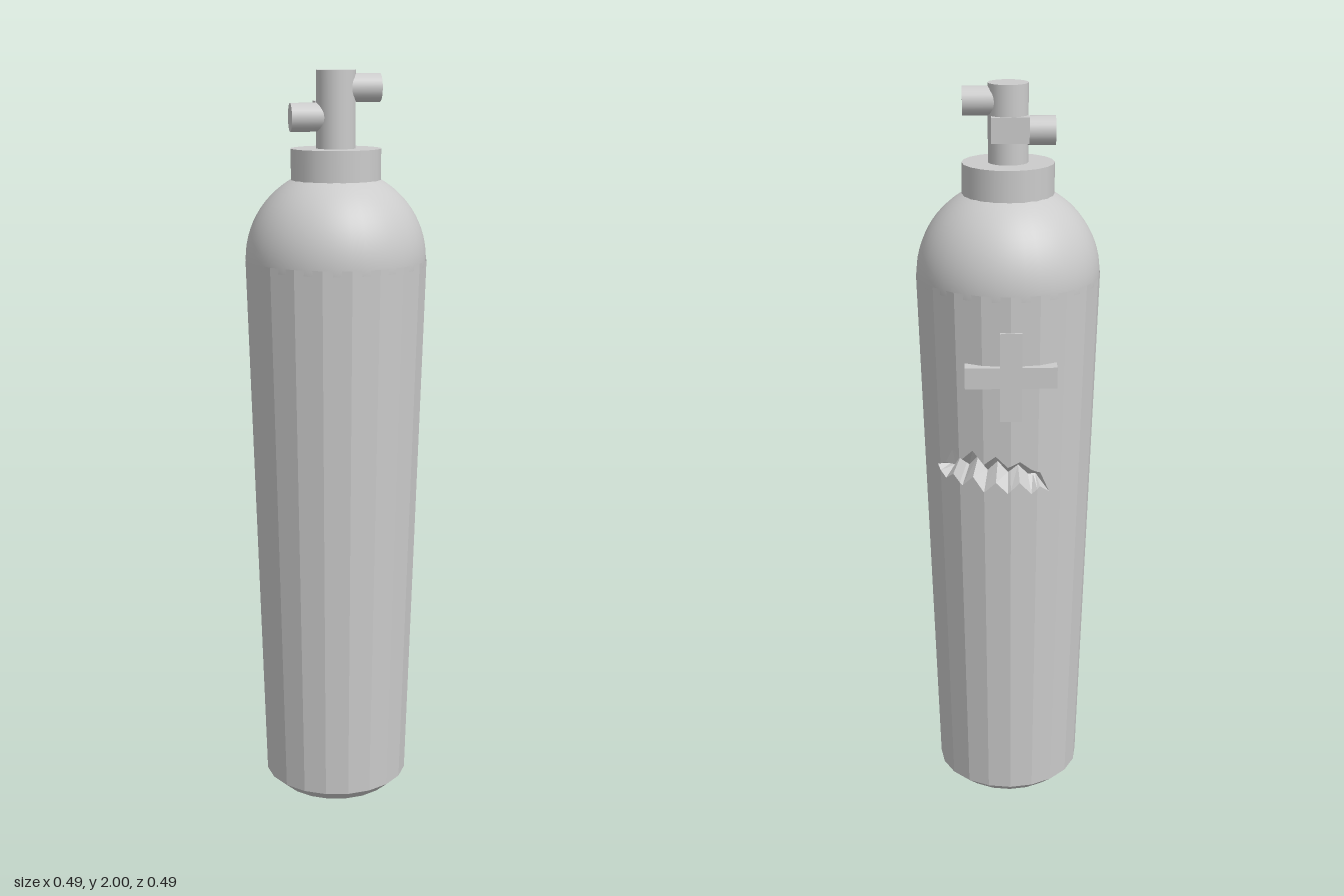
import * as THREE from 'three';

const SIDES = 20;
const BASE_Y = 0.035, SHOULDER_Y = 1.51;

// Jagged tear on the back: angle from the back towards +x (degrees), lower edge, upper edge
const TEAR = [
  [58, 1.015, 1.015], [49, 0.985, 1.03], [42, 1.005, 1.075], [34, 0.98, 1.055],
  [26, 1.01, 1.085], [18, 0.97, 1.05], [10, 1.0, 1.075], [2, 0.97, 1.045],
  [-6, 1.0, 1.06], [-14, 0.965, 1.035], [-20, 0.985, 1.025], [-27, 0.965, 0.965],
];

// Tear edges at any angle
function tearAt(deg) {
  for (let i = 0; i < TEAR.length - 1; i++) {
    const [a, lo0, hi0] = TEAR[i], [b, lo1, hi1] = TEAR[i + 1];
    if (deg <= a && deg >= b) {
      const t = (a - deg) / (a - b);
      return [lo0 + (lo1 - lo0) * t, hi0 + (hi1 - hi0) * t];
    }
  }
  return [1, 1];
}

// Point on the tapered, faceted wall; depth pushes it inwards
function wallPoint(deg, y, depth = 0) {
  const step = 360 / SIDES;
  const off = (((deg % step) + step) % step) - step / 2;
  const rad = THREE.MathUtils.degToRad;
  const r = 0.2 + 0.043 * (y - BASE_Y) / (SHOULDER_Y - BASE_Y);
  const flat = r * Math.cos(rad(step / 2)) / Math.cos(rad(off)) - depth;
  return [flat * Math.sin(rad(deg)), y, -flat * Math.cos(rad(deg))];
}

// Tank wall as vertical strips, folding inwards where it is torn
function wallGeometry() {
  const angles = new Set(TEAR.map((t) => t[0]));
  for (let i = -SIDES / 2; i <= SIDES / 2; i++) angles.add(i * 360 / SIDES);
  const columns = [...angles].sort((a, b) => b - a).map((deg) => {
    const [lo, hi] = tearAt(deg);
    const depth = hi > lo ? 0.035 : 0;
    return [
      wallPoint(deg, BASE_Y), wallPoint(deg, lo),
      wallPoint(deg, lo + (hi - lo) * 0.65, depth),
      wallPoint(deg, hi), wallPoint(deg, SHOULDER_Y),
    ];
  });
  const pos = [];
  for (let i = 0; i < columns.length - 1; i++) {
    const a = columns[i], b = columns[i + 1];
    for (let j = 0; j < 4; j++) {
      const corners = [a[j], b[j], b[j + 1], a[j], b[j + 1], a[j + 1]];
      // Outside the tear the inner rows collapse to nothing
      if ((j === 1 || j === 2) && a[1][1] === a[3][1] && b[1][1] === b[3][1]) continue;
      corners.forEach((p) => pos.push(...p));
    }
  }
  const g = new THREE.BufferGeometry();
  g.setAttribute('position', new THREE.Float32BufferAttribute(pos, 3));
  g.computeVertexNormals();
  return g;
}

// Plus-shaped badge outline
function plusGeometry() {
  const a = 0.118, b = 0.028;
  const pts = [[b, a], [b, b], [a, b], [a, -b], [b, -b], [b, -a],
    [-b, -a], [-b, -b], [-a, -b], [-a, b], [-b, b], [-b, a]];
  const shape = new THREE.Shape(pts.map(([x, y]) => new THREE.Vector2(x, y)));
  return new THREE.ExtrudeGeometry(shape, { depth: 0.04, bevelEnabled: false });
}

export function createModel() {
  const group = new THREE.Group();
  const smooth = new THREE.MeshStandardMaterial({ color: 0xcccccc });
  const faceted = new THREE.MeshStandardMaterial({ color: 0xcccccc, flatShading: true });
  const torn = new THREE.MeshStandardMaterial({ color: 0xcccccc, flatShading: true, side: THREE.DoubleSide });

  function add(name, geometry, material, x = 0, y = 0, z = 0) {
    const mesh = new THREE.Mesh(geometry, material);
    mesh.name = name;
    mesh.position.set(x, y, z);
    group.add(mesh);
    return mesh;
  }

  // Tank
  add('tankWall', wallGeometry(), torn);
  add('tankBase', new THREE.CylinderGeometry(0.2, 0.16, BASE_Y, SIDES), faceted, 0, BASE_Y / 2);
  add('dome', new THREE.SphereGeometry(0.241, 40, 20, 0, Math.PI * 2, 0, Math.PI * 0.52), smooth, 0, SHOULDER_Y);

  // Neck and valve
  add('collar', new THREE.CylinderGeometry(0.12, 0.12, 0.1, SIDES), smooth, 0, 1.75);
  add('valveStem', new THREE.CylinderGeometry(0.052, 0.052, 0.22, 24), smooth, 0, 1.89);
  for (const [name, side, y, length] of [['upperOutlet', 1, 1.955, 0.117], ['lowerOutlet', -1, 1.88, 0.121]]) {
    const outlet = add(name, new THREE.CylinderGeometry(0.037, 0.037, length, 24), smooth, side * length / 2, y);
    outlet.rotation.z = Math.PI / 2;
  }
  add('valveBlock', new THREE.BoxGeometry(0.097, 0.065, 0.04), smooth, -0.004, 1.888, -0.035);

  // Badge on the back
  add('plusBadge', plusGeometry(), smooth, 0, 1.298, -0.246);

  return group;
}
